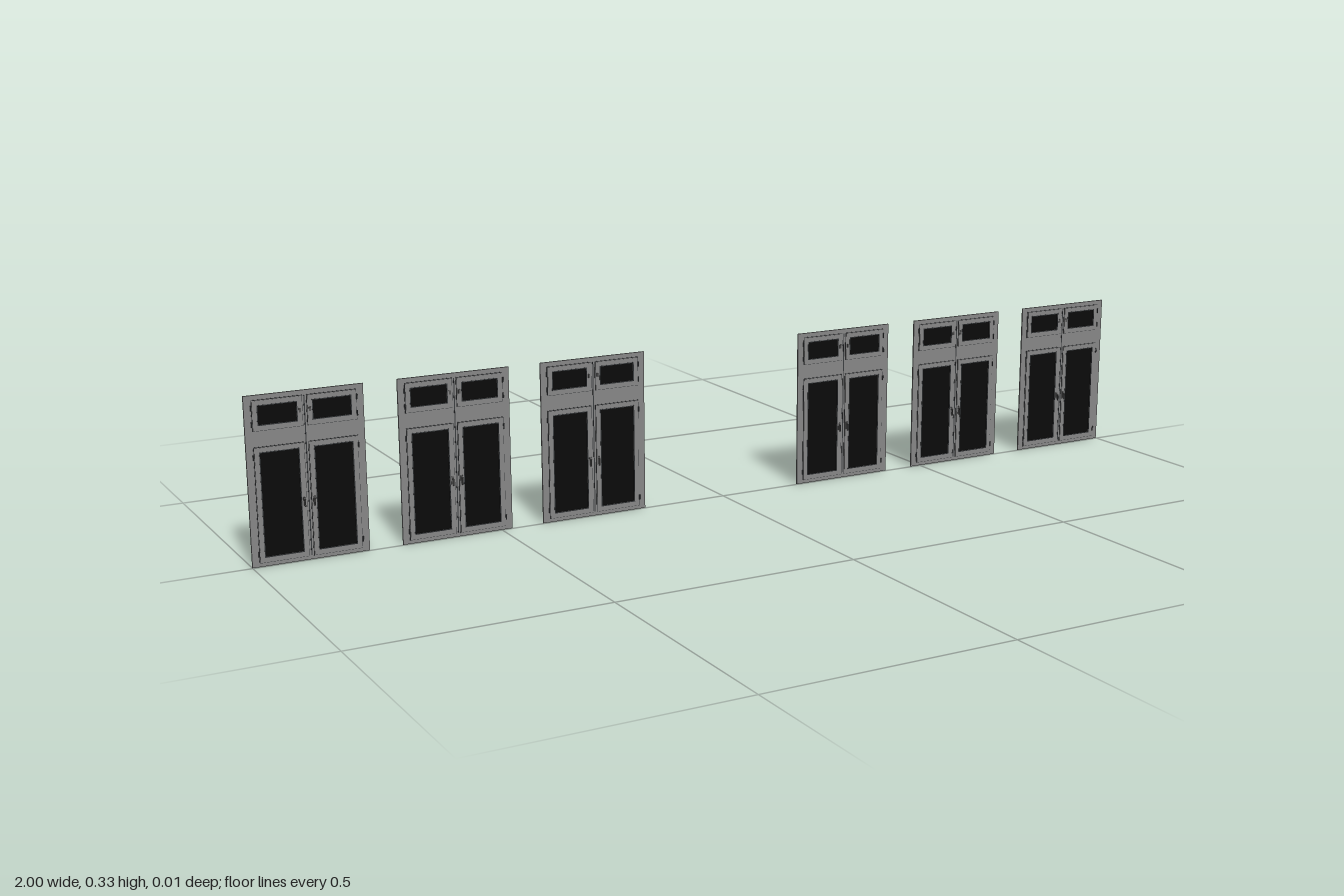
import * as THREE from 'three';

const mat = (name, color) => new THREE.MeshStandardMaterial({ name, color });

// Axis-aligned rectangle as [x0, y0, x1, y1], traced into a shape or hole
function trace(path, [x0, y0, x1, y1]) {
  path.moveTo(x0, y0);
  path.lineTo(x1, y0);
  path.lineTo(x1, y1);
  path.lineTo(x0, y1);
  path.closePath();
  return path;
}

const grow = ([x0, y0, x1, y1], d) => [x0 - d, y0 - d, x1 + d, y1 + d];

// Flat panel with rectangular openings, between two z depths
function panel(outer, holes, zBack, zFront) {
  const shape = trace(new THREE.Shape(), outer);
  for (const h of holes) shape.holes.push(trace(new THREE.Path(), h));
  const geo = new THREE.ExtrudeGeometry(shape, { depth: zFront - zBack, bevelEnabled: false });
  return geo.translate(0, 0, zBack);
}

export function createModel() {
  const framePaint = mat('frame grey', 0x868686);
  const seal = mat('seal dark grey', 0x3a3d40);
  const glass = mat('glass black', 0x0b0b0b);
  const metal = mat('handle grey', 0x555555);

  const add = (parent, name, geo, material, x = 0, y = 0, z = 0) => {
    const mesh = new THREE.Mesh(geo, material);
    mesh.name = name;
    mesh.position.set(x, y, z);
    parent.add(mesh);
    return mesh;
  };

  const W = 0.114, H = 0.327;
  // Sash rectangles: tall casements below, transom lights above, on both sides
  const sashes = [];
  for (const [y0, y1] of [[0.008, 0.228], [0.26, 0.317]]) {
    sashes.push([0.005, y0, 0.099, y1], [-0.099, y0, -0.005, y1]);
  }

  // Shared geometry for the small fittings
  const plate = new THREE.BoxGeometry(0.005, 0.016, 0.001);
  const neck = new THREE.CylinderGeometry(0.0012, 0.0012, 0.004, 8).rotateX(Math.PI / 2);
  const lever = new THREE.BoxGeometry(0.0025, 0.014, 0.0014);
  const hinge = new THREE.CylinderGeometry(0.0015, 0.0015, 0.01, 8);
  const latch = new THREE.BoxGeometry(0.004, 0.008, 0.0014);

  function buildWindow() {
    const unit = new THREE.Group();
    unit.name = 'window';

    // Fixed outer frame with mullion and transom
    add(unit, 'frame', panel([-W, 0, W, H], sashes.map(s => grow(s, -0.005)), -0.005, -0.002), framePaint);

    for (const s of sashes) {
      const pane = grow(s, -0.0105);
      add(unit, 'seal', panel(grow(s, 0.001), [grow(s, -0.004)], -0.003, -0.0012), seal);
      add(unit, 'sash', panel(s, [pane], -0.003, 0), framePaint);
      add(unit, 'glazingBead', panel(grow(pane, 0.0015), [pane], -0.001, 0.0003), seal);
      add(unit, 'glass', panel(grow(pane, 0.001), [], -0.0032, -0.0015), glass);
    }

    // Joint line down the mullion
    add(unit, 'mullionJoint', new THREE.BoxGeometry(0.002, 0.309, 0.0006), seal, 0, 0.1625, -0.0019);

    for (const side of [1, -1]) {
      // Lever handle hanging beside the mullion
      const handle = new THREE.Group();
      handle.name = 'handle';
      handle.position.set(side * 0.0095, 0.115, 0);
      add(handle, 'handlePlate', plate, metal, 0, 0, 0.0005);
      add(handle, 'handleNeck', neck, metal, 0, 0.003, 0.002);
      add(handle, 'handleLever', lever, metal, 0, -0.003, 0.0043);
      unit.add(handle);

      // Hinges on the outer edge and a latch on the transom light
      for (const y of [0.025, 0.21, 0.272, 0.303]) {
        add(unit, 'hinge', hinge, seal, side * 0.1005, y, -0.0005);
      }
      add(unit, 'latch', latch, metal, side * 0.0095, 0.29, 0.0005);
    }
    return unit;
  }

  // Two rows of three windows with a wide gap between them
  const model = new THREE.Group();
  model.name = 'windowSet';
  for (const side of [-1, 1]) {
    for (const x of [0.296, 0.591, 0.886]) {
      const unit = buildWindow();
      unit.position.x = side * x;
      model.add(unit);
    }
  }
  return model;
}
